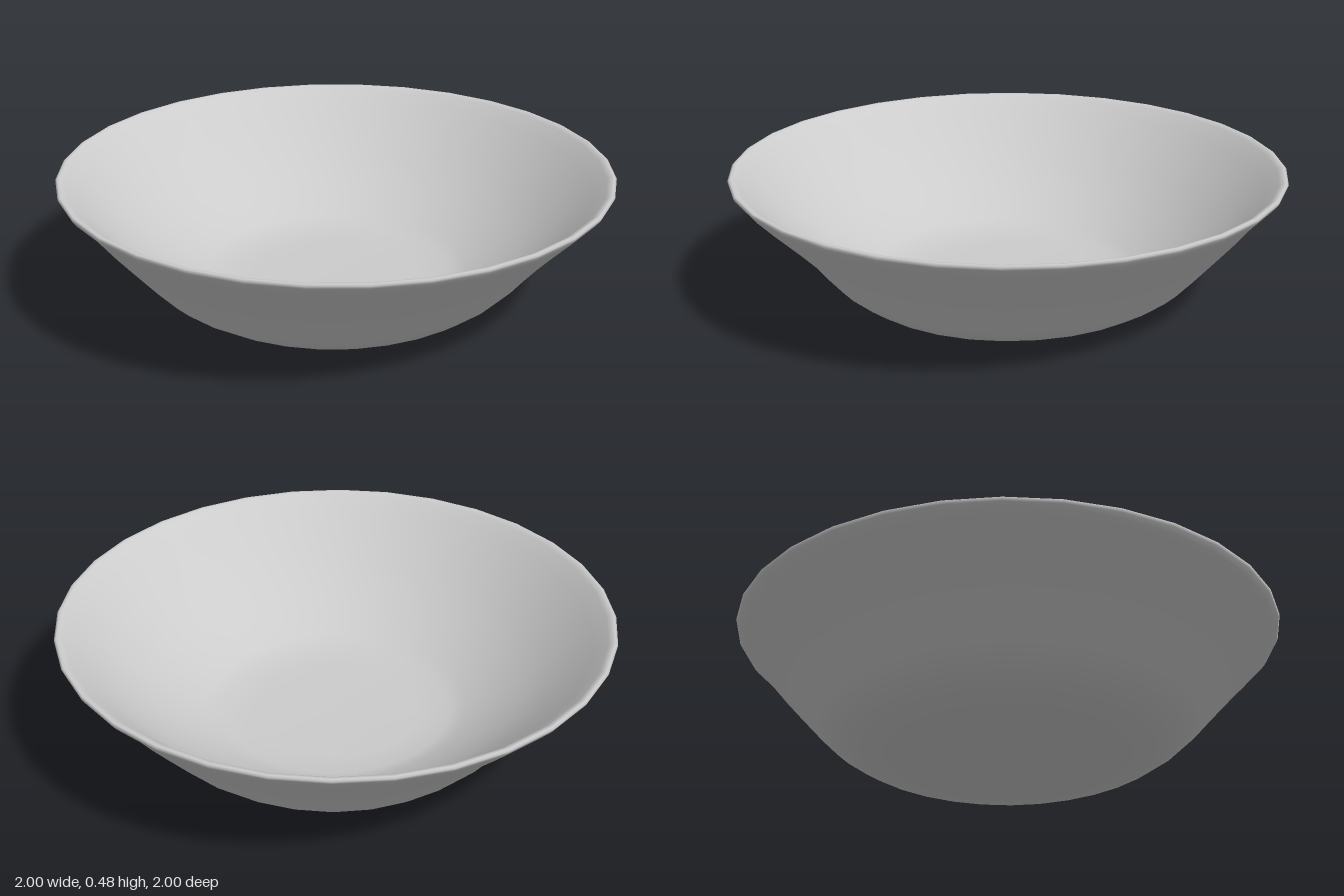
import * as THREE from 'three';

// Shallow bowl: one closed turned profile, outside then inside
export function createModel() {
  const group = new THREE.Group();
  group.name = 'bowl';

  const outside = [[0, 0], [0.36, 0], [0.43, 0.006], [0.51, 0.02], [0.58, 0.047], [0.64, 0.09],
    [0.68, 0.132], [0.72, 0.182], [0.77, 0.238], [0.83, 0.298], [0.92, 0.383], [0.98, 0.443]];
  const rim = [[0.995, 0.461], [1, 0.472], [0.993, 0.477], [0.982, 0.476], [0.967, 0.467]];
  const inside = [[0.92, 0.424], [0.85, 0.358], [0.75, 0.27], [0.65, 0.193], [0.55, 0.134],
    [0.47, 0.096], [0.41, 0.075], [0.3, 0.066], [0, 0.063]];
  const profile = [...outside, ...rim, ...inside].map(([r, y]) => new THREE.Vector2(r, y));
  const geometry = new THREE.LatheGeometry(profile, 32);

  // The lower wall is slightly fuller everywhere except at the two sides
  const pos = geometry.attributes.position;
  for (let i = 0; i < pos.count; i++) {
    const x = pos.getX(i), y = pos.getY(i), z = pos.getZ(i);
    const turn = Math.min(1, 2.5 * Math.sin(Math.atan2(z, x)) ** 2);
    const fullness = Math.sin(Math.PI * Math.min(1, Math.max(0, y / 0.38)));
    const scale = 1 + 0.04 * turn * fullness;
    pos.setXYZ(i, x * scale, y, z * scale);
  }

  const shell = new THREE.Mesh(geometry, new THREE.MeshStandardMaterial({ color: 0xcccccc }));
  shell.name = 'bowlShell';
  group.add(shell);
  return group;
}
